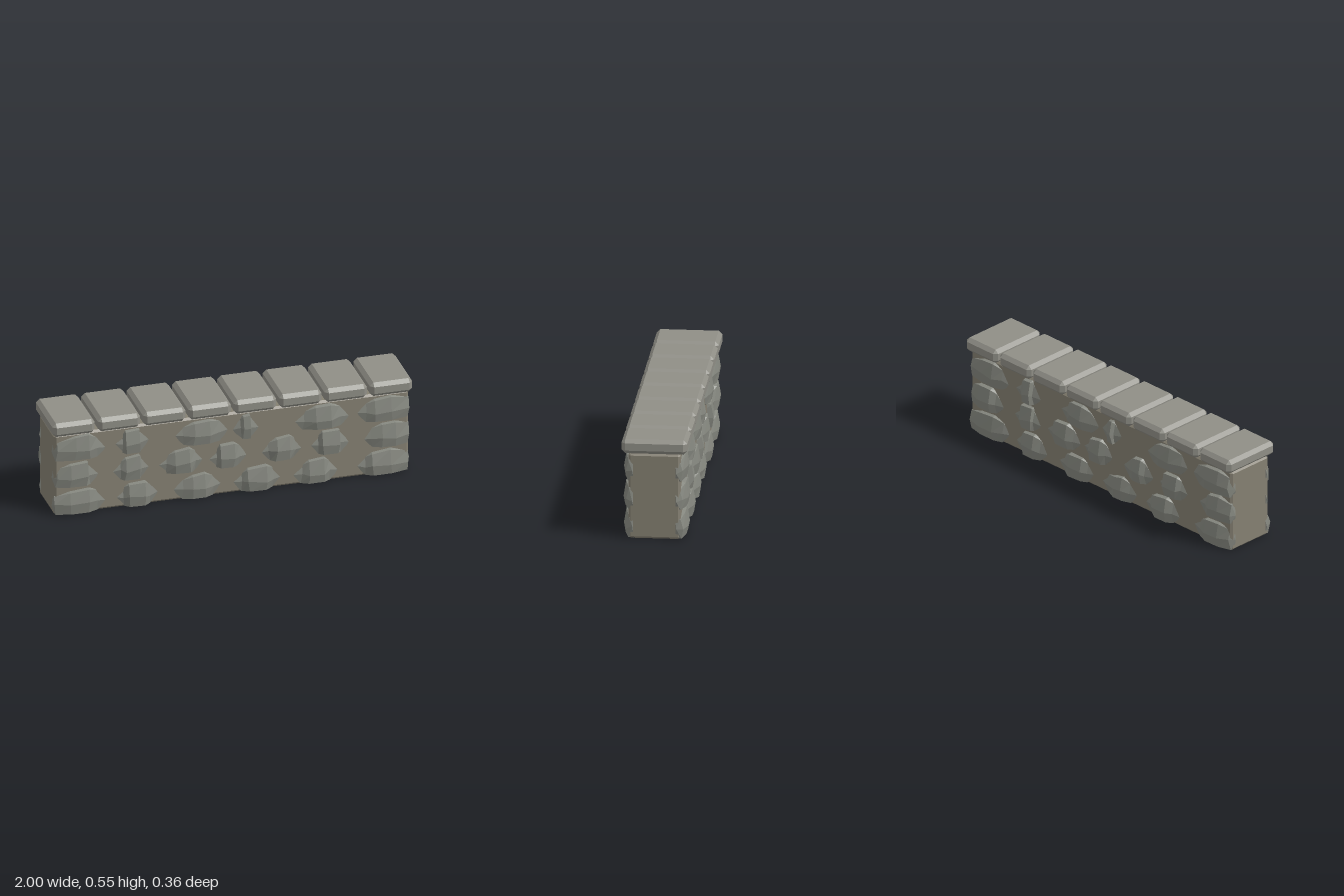
import * as THREE from 'three';
import { ConvexGeometry } from 'three/addons/geometries/ConvexGeometry.js';

const material = (color) => new THREE.MeshStandardMaterial({ color, flatShading: true });

// Seeded jitter in the range -1..1
function makeJitter(seed) {
  return () => {
    seed = (seed * 16807) % 2147483647;
    return (seed / 2147483647) * 2 - 1;
  };
}

// Box with every edge chamfered by c
function chamferBox(w, h, d, c) {
  const points = [];
  for (const sx of [-1, 1]) for (const sy of [-1, 1]) for (const sz of [-1, 1]) {
    for (let axis = 0; axis < 3; axis++) {
      const inset = [c, c, c];
      inset[axis] = 0;
      points.push(new THREE.Vector3(
        sx * (w / 2 - inset[0]), sy * (h / 2 - inset[1]), sz * (d / 2 - inset[2])));
    }
  }
  return new ConvexGeometry(points);
}

// Rough faceted stone: five-sided rings along x, closed by a point at each end
function stoneGeometry(x0, x1, y0, height, jitter) {
  const w = x1 - x0;
  const endL = x0 < -0.97, endR = x1 > 0.97;
  const a = endL ? 0.015 : 0.055, b = endR ? 0.015 : 0.055;
  const stations = [
    { x: x0 + a, s: 0.8, out: 0.151 },
    { x: x0 + w * (0.36 + 0.05 * jitter()), s: 0.95, out: 0.174 },
    { x: x0 + w * (0.66 + 0.05 * jitter()), s: 1, out: 0.174 },
    { x: x1 - b, s: 0.86, out: 0.153 },
  ];
  const pos = [], index = [], n = 5;
  for (const { x, s, out } of stations) {
    const top = y0 + height * (s + 0.03 * jitter());
    const peak = y0 + height * (0.38 + 0.06 * jitter());
    const z = out + 0.004 * jitter();
    const slant = 0.012 * jitter();
    pos.push(x, y0, 0.11);
    pos.push(x, y0, z - 0.01);
    pos.push(x + slant, peak, z);
    pos.push(x + slant, top - 0.012, z - 0.014);
    pos.push(x, top, 0.11);
  }
  const tipY = y0 + height * (0.36 + 0.05 * jitter());
  pos.push(x0, tipY, endL ? 0.118 : 0.137);
  pos.push(x1, tipY + 0.008 * jitter(), endR ? 0.118 : 0.137);
  const last = (stations.length - 1) * n, tipL = last + n, tipR = tipL + 1;
  for (let j = 0; j < n; j++) {
    const k = (j + 1) % n;
    for (let i = 0; i < last; i += n) {
      index.push(i + j, i + n + j, i + n + k, i + j, i + n + k, i + k);
    }
    index.push(tipL, j, k, last + j, tipR, last + k);
  }
  const g = new THREE.BufferGeometry();
  g.setAttribute('position', new THREE.Float32BufferAttribute(pos, 3));
  g.setIndex(index);
  g.computeVertexNormals();
  return g;
}

// Courses of stones: base height and [start, end] along the wall
const COURSES = [
  { y: 0.004, spans: [[-0.993, -0.69], [-0.65, -0.4], [-0.33, -0.05], [0.0, 0.28], [0.33, 0.6], [0.69, 0.993]] },
  { y: 0.164, spans: [[-0.993, -0.73], [-0.67, -0.45], [-0.42, -0.15], [-0.14, 0.09], [0.16, 0.4], [0.43, 0.66], [0.73, 0.993]] },
  { y: 0.321, spans: [[-0.993, -0.69], [-0.66, -0.45], [-0.32, -0.01], [0.0, 0.16], [0.34, 0.66], [0.69, 0.993]] },
];

function stoneFace(name, seed, mat) {
  const face = new THREE.Group();
  face.name = name;
  const jitter = makeJitter(seed);
  COURSES.forEach(({ y, spans }, row) => {
    spans.forEach(([x0, x1], i) => {
      const stone = new THREE.Mesh(stoneGeometry(x0, x1, y, 0.147, jitter), mat);
      stone.name = `stone_${row + 1}_${i + 1}`;
      face.add(stone);
    });
  });
  return face;
}

export function createModel() {
  const model = new THREE.Group();
  model.name = 'stoneWall';

  // Mortar core
  const core = new THREE.Mesh(chamferBox(1.97, 0.474, 0.28, 0.012), material(0x858072));
  core.name = 'wallCore';
  core.position.y = 0.237;
  model.add(core);

  // Stones on both long sides
  const stoneMat = material(0x85877f);
  const front = stoneFace('frontStones', 1234, stoneMat);
  const back = stoneFace('backStones', 9871, stoneMat);
  back.rotation.y = Math.PI;
  model.add(front, back);

  // Row of capstones
  const caps = new THREE.Group();
  caps.name = 'capstones';
  const capGeo = chamferBox(0.236, 0.08, 0.352, 0.02);
  const capMat = material(0x8f8e86);
  for (let i = 0; i < 8; i++) {
    const cap = new THREE.Mesh(capGeo, capMat);
    cap.name = `capstone_${i + 1}`;
    cap.position.set((i - 3.5) * 0.252, 0.514, 0);
    caps.add(cap);
  }
  model.add(caps);
  return model;
}
